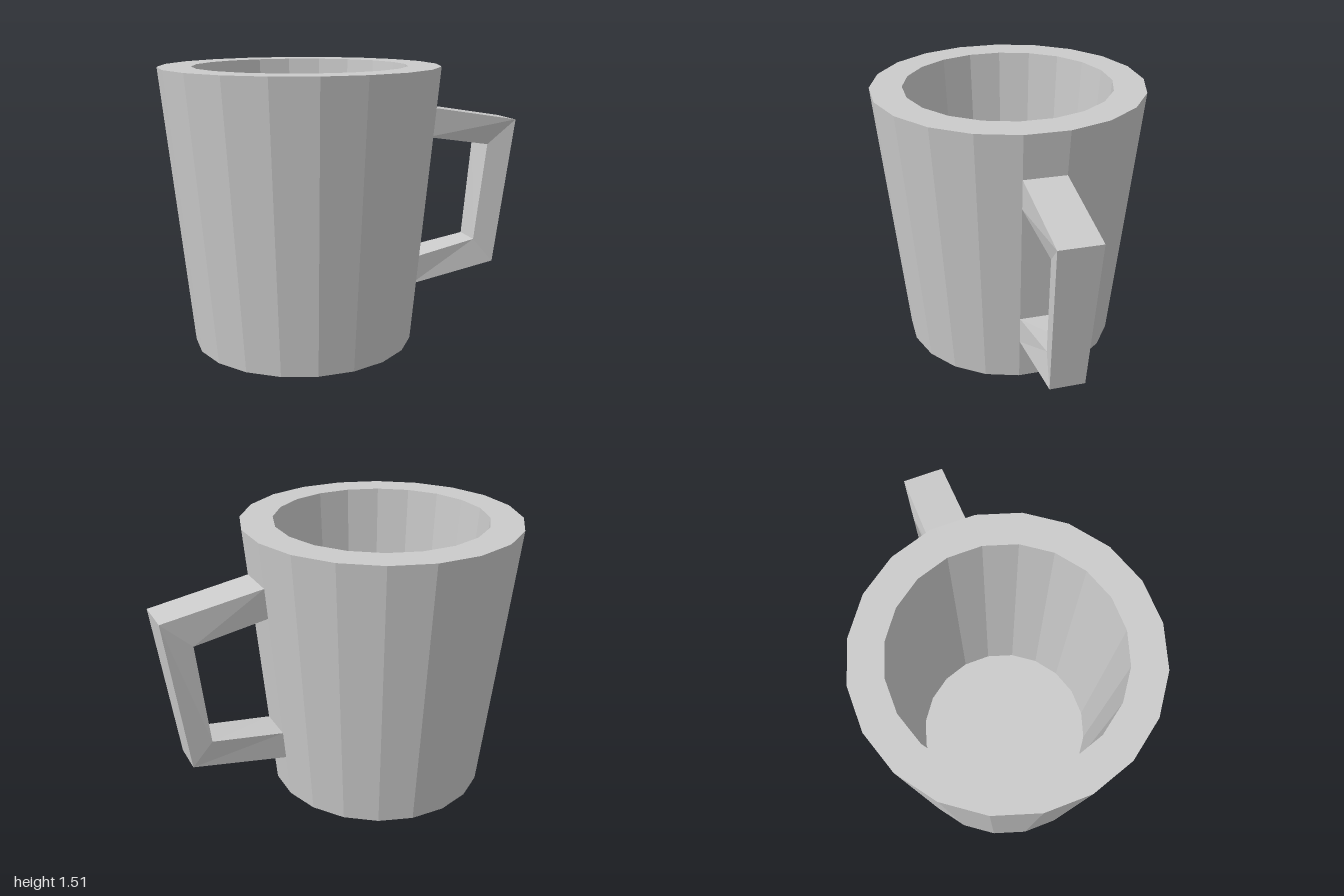
import * as THREE from 'three';

const CENTER_X = -0.255, SIDES = 20, HEIGHT = 1.51;
const BASE_R = 0.605, RIM_R = 0.747;

// Corner of the tapered wall at height y; step counts facets towards the back
function wallPoint(y, step) {
  const r = BASE_R + (RIM_R - BASE_R) * y / HEIGHT;
  const a = step * 2 * Math.PI / SIDES;
  return [CENTER_X + r * Math.cos(a), y, -r * Math.sin(a)];
}

// Skin four-cornered cross-sections into a flat-faced tube
function skin(rings) {
  const pos = [];
  for (let i = 0; i < rings.length - 1; i++) {
    for (let k = 0; k < 4; k++) {
      const n = (k + 1) % 4;
      const a = rings[i][k], b = rings[i + 1][k], c = rings[i + 1][n], d = rings[i][n];
      pos.push(...a, ...b, ...c, ...a, ...c, ...d);
    }
  }
  const g = new THREE.BufferGeometry();
  g.setAttribute('position', new THREE.Float32BufferAttribute(pos, 3));
  g.computeVertexNormals();
  return g;
}

export function createModel() {
  const group = new THREE.Group();
  group.name = 'mug';
  const material = new THREE.MeshStandardMaterial({ color: 0xcccccc, flatShading: true });

  // Cup: closed profile of base, outer wall, rim, inner wall and floor
  const profile = [[0, 0], [BASE_R, 0], [RIM_R, HEIGHT], [0.572, HEIGHT], [0.483, 0.2], [0, 0.2]]
    .map(([r, y]) => new THREE.Vector2(r, y));
  const cupGeometry = new THREE.LatheGeometry(profile, SIDES).toNonIndexed();
  cupGeometry.computeVertexNormals();
  const cup = new THREE.Mesh(cupGeometry, material);
  cup.name = 'cup';
  cup.position.x = CENTER_X;
  group.add(cup);

  // Handle: grows out of one wall facet, bends twice and returns to it
  // Each section: outer front, outer back, inner back, inner front
  const joint = (outer, inner) => [
    wallPoint(outer, 0), wallPoint(outer, 1), wallPoint(inner, 1), wallPoint(inner, 0),
  ];
  const handle = new THREE.Mesh(skin([
    joint(1.27, 1.105),
    [[1.0, 1.18, -0.09], [0.965, 1.18, -0.307], [0.81, 1.04, -0.295], [0.835, 1.04, -0.09]],
    [[0.89, 0.335, -0.09], [0.86, 0.335, -0.272], [0.75, 0.47, -0.268], [0.77, 0.475, -0.09]],
    joint(0.25, 0.41),
  ]), material);
  handle.name = 'handle';
  group.add(handle);

  return group;
}
